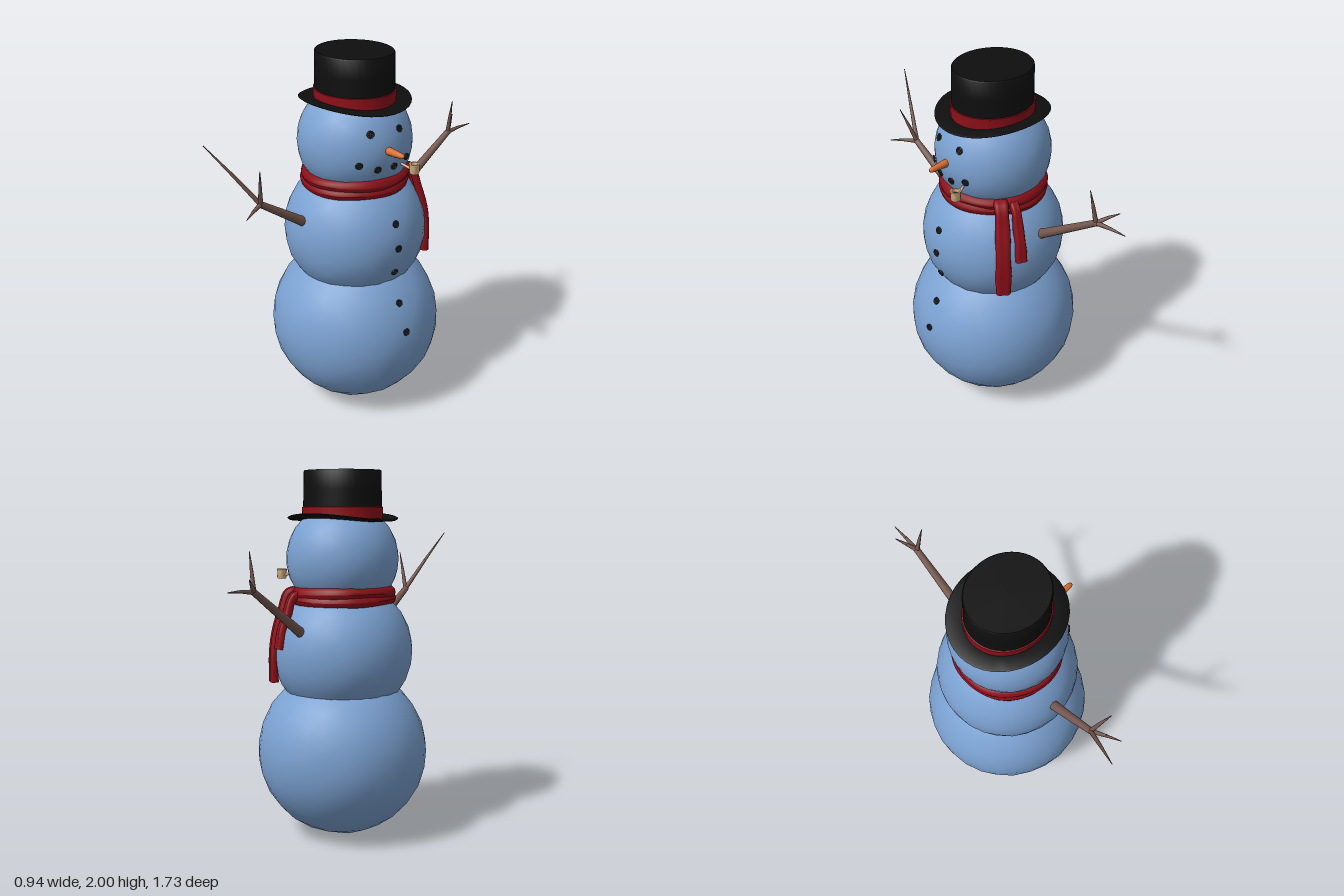
import * as THREE from 'three';
import { mergeVertices, toCreasedNormals } from 'three/addons/utils/BufferGeometryUtils.js';

const CZ = 0.02; // body axis in z
const V = (x, y, z) => new THREE.Vector3(x, y, z);
const paint = (color) => new THREE.MeshStandardMaterial({ color });

export function createModel() {
  const model = new THREE.Group();
  const snow = paint(0x7ba1d1), black = paint(0x0e0e0e), red = paint(0x8c0f19);
  const bark = paint(0x765850), orange = paint(0xdb6f30), coal = paint(0x2a2d30);
  const cream = paint(0xdcb88a);

  const add = (name, geometry, material, parent = model) => {
    const mesh = new THREE.Mesh(geometry, material);
    mesh.name = name;
    parent.add(mesh);
    return mesh;
  };
  const group = (name) => {
    const g = new THREE.Group();
    g.name = name;
    model.add(g);
    return g;
  };
  // tapered round rod between two points
  const rod = (name, a, b, ra, rb, material, parent, sides = 10) => {
    const mesh = add(name, new THREE.CylinderGeometry(rb, ra, a.distanceTo(b), sides), material, parent);
    mesh.position.copy(a).lerp(b, 0.5);
    mesh.quaternion.setFromUnitVectors(V(0, 1, 0), b.clone().sub(a).normalize());
    return mesh;
  };

  // snowballs with a slightly hand-packed surface
  const balls = [
    { name: 'lowerBody', y: 0.47, r: 0.468, detail: 4 },
    { name: 'upperBody', y: 1.03, r: 0.385, detail: 4 },
    { name: 'head', y: 1.53, r: 0.305, detail: 4 },
  ];
  for (const { name, y, r, detail } of balls) {
    let g = new THREE.IcosahedronGeometry(r, detail);
    g.deleteAttribute('normal');
    g.deleteAttribute('uv');
    g = mergeVertices(g, 1e-4);
    const p = g.attributes.position, v = V(0, 0, 0);
    for (let i = 0; i < p.count; i++) {
      v.fromBufferAttribute(p, i);
      const n = v.clone().divideScalar(r);
      v.multiplyScalar(1 + 0.007 * Math.sin(7 * n.x + 2) * Math.sin(6 * n.y + 1) * Math.cos(7 * n.z));
      p.setXYZ(i, v.x, v.y, v.z);
    }
    g.computeVertexNormals();
    add(name, g, snow).position.set(0, y, CZ);
  }
  const [lower, upper, head] = balls;

  // buttons, eyes and mouth: rimmed discs with four holes, set on a ball
  const disc = new THREE.Shape().absarc(0, 0, 0.015, 0, Math.PI * 2);
  for (const [x, y] of [[1, 1], [-1, 1], [-1, -1], [1, -1]])
    disc.holes.push(new THREE.Path().absarc(x * 0.0055, y * 0.0055, 0.0035, 0, Math.PI * 2, true));
  const discGeo = new THREE.ExtrudeGeometry(disc, { depth: 0.008, bevelEnabled: false, curveSegments: 8 });
  const rimGeo = new THREE.TorusGeometry(0.016, 0.004, 6, 18);
  const backGeo = new THREE.CircleGeometry(0.015, 18);
  const button = (name, ball, y, z) => {
    const g = group(name);
    const dy = y - ball.y, dz = z - CZ;
    const n = V(Math.sqrt(ball.r ** 2 - dy * dy - dz * dz), dy, dz).normalize();
    g.position.copy(n).multiplyScalar(ball.r - 0.001).add(V(0, ball.y, CZ));
    g.quaternion.setFromUnitVectors(V(0, 0, 1), n);
    add('buttonDisc', discGeo, coal, g);
    add('buttonRim', rimGeo, coal, g).position.z = 0.008;
    add('buttonBack', backGeo, black, g).position.z = 0.003;
  };
  for (const y of [1.165, 1.035, 0.89]) button('upperButton', upper, y, 0.055);
  for (const y of [0.715, 0.565]) button('lowerButton', lower, y, 0.055);
  for (const z of [0.14, -0.03]) button('eye', head, 1.643, z);
  for (const [y, z] of [[1.49, 0.2], [1.46, 0.112], [1.46, 0.017], [1.485, -0.075]]) button('mouthStone', head, y, z);

  // carrot nose: ringed, blunt cone
  const carrot = [[0, 0], [0.021, 0], [0.021, 0.05], [0.018, 0.06], [0.019, 0.075], [0.016, 0.1],
    [0.015, 0.12], [0.009, 0.137], [0, 0.142]].map(([x, y]) => new THREE.Vector2(x, y));
  const nose = add('nose', new THREE.LatheGeometry(carrot, 10), orange);
  nose.position.set(0.27, 1.548, 0.053);
  nose.rotation.z = -Math.PI / 2;

  // pipe with a hollow bowl
  const pipe = group('pipe');
  rod('pipeStem', V(0.265, 1.455, -0.045), V(0.34, 1.43, -0.072), 0.006, 0.008, cream, pipe);
  const bowl = [[0, 0], [0.022, 0], [0.026, 0.008], [0.025, 0.042], [0.028, 0.046], [0.028, 0.054], [0.019, 0.054],
    [0.018, 0.03], [0, 0.03]].map(([x, y]) => new THREE.Vector2(x, y));
  add('pipeBowl', toCreasedNormals(new THREE.LatheGeometry(bowl, 16), 0.7), cream, pipe).position.set(0.356, 1.411, -0.074);
  const tobacco = add('pipeFilling', new THREE.CircleGeometry(0.019, 16), coal, pipe);
  tobacco.position.set(0.356, 1.447, -0.074);
  tobacco.rotation.x = -Math.PI / 2;

  // top hat: oval, with the brim curling up at both sides
  const hat = group('hat');
  hat.position.z = CZ;
  hat.scale.z = 0.91;
  const lathe = (pts) => new THREE.LatheGeometry(pts.map(([x, y]) => new THREE.Vector2(x, y)), 40);
  const brim = lathe([[0, 1.728], [0.12, 1.728], [0.23, 1.728], [0.3, 1.731], [0.309, 1.736], [0.3, 1.741], [0.23, 1.745], [0.12, 1.745], [0, 1.745]]);
  const bp = brim.attributes.position;
  for (let i = 0; i < bp.count; i++) bp.setY(i, bp.getY(i) + 0.36 * bp.getZ(i) ** 2);
  add('hatBrim', toCreasedNormals(brim, 0.9), black, hat);
  add('hatCrown', toCreasedNormals(lathe([[0, 1.735], [0.22, 1.735], [0.22, 1.8], [0.217, 1.9], [0.216, 1.994], [0.211, 2], [0, 2]]), 0.7), black, hat);
  add('hatBand', toCreasedNormals(lathe([[0.21, 1.745], [0.226, 1.745], [0.226, 1.806], [0.21, 1.81]]), 0.7), red, hat);

  // scarf: two uneven wraps and two hanging tails
  const scarf = group('scarf');
  [[1.352, 0.249, 0.4], [1.314, 0.251, 2.1]].forEach(([y, R, phase]) => {
    const g = new THREE.TorusGeometry(R, 0.039, 12, 56);
    g.rotateX(Math.PI / 2);
    const p = g.attributes.position;
    for (let i = 0; i < p.count; i++) {
      const a = Math.atan2(p.getZ(i), p.getX(i)), py = p.getY(i);
      const k = 1 + 0.01 * Math.sin(5 * a + phase);
      p.setXYZ(i, p.getX(i) * k, py * (0.95 + 0.08 * Math.sin(3 * a + phase)) + 0.004 * Math.sin(2 * a + phase), p.getZ(i) * k);
    }
    g.computeVertexNormals();
    add('scarfWrap', g, red, scarf).position.set(0, y, CZ);
  });

  // a tail follows [radius, y] points down the back, leaning along direction (dx, dz)
  const tail = (name, dx, dz, path, width, flare) => {
    const curve = new THREE.CatmullRomCurve3(path.map(([r, y]) => V(dx * r, y, dz * r + CZ)));
    const side = V(-dz, 0, dx);
    const g = new THREE.CylinderGeometry(1, 1, 1, 16, 24);
    const p = g.attributes.position;
    for (let i = 0; i < p.count; i++) {
      const t = THREE.MathUtils.clamp(0.5 - p.getY(i), 0, 1);
      const x = p.getX(i), z = p.getZ(i);
      const out = side.clone().cross(curve.getTangent(t)).normalize();
      const w = width * (1 + flare * t + 0.06 * Math.sin(17 * t));
      const thick = 0.026 * (0.7 + 0.6 * Math.abs(x)) * (1 + 0.1 * Math.sin(13 * t));
      const q = curve.getPoint(t).addScaledVector(side, x * w).addScaledVector(out, z * thick);
      p.setXYZ(i, q.x, q.y, q.z);
    }
    g.computeVertexNormals();
    const mesh = add(name, toCreasedNormals(g, 1), red, scarf);
    mesh.material = red.clone();
    mesh.material.side = THREE.DoubleSide;
  };
  tail('scarfLongTail', 0.6, -0.8, [[0.265, 1.365], [0.305, 1.345], [0.34, 1.25], [0.372, 1.12], [0.388, 1.0], [0.385, 0.87]], 0.036, 0.15);
  tail('scarfShortTail', 0.385, -0.92, [[0.27, 1.35], [0.31, 1.32], [0.345, 1.22], [0.375, 1.13], [0.385, 1.06]], 0.023, 0.4);

  // stick arms: a branch that forks into three twigs
  const arm = (name, root, elbow, tips) => {
    const g = group(name);
    rod('branch', root, elbow, 0.027, 0.017, bark, g);
    add('fork', new THREE.SphereGeometry(0.018, 10, 8), bark, g).position.copy(elbow);
    for (const tip of tips) {
      const mid = elbow.clone().lerp(tip, 0.5).add(V(0, 0.004, 0));
      rod('twig', elbow, mid, 0.013, 0.0085, bark, g, 8);
      rod('twigTip', mid, tip, 0.0085, 0.002, bark, g, 8);
    }
  };
  arm('rightArm', V(0, 1.14, 0.355), V(0, 1.325, 0.635),
    [V(-0.125, 1.655, 0.863), V(0.072, 1.535, 0.68), V(0.08, 1.308, 0.775)]);
  arm('leftArm', V(0, 1.15, -0.32), V(0, 1.395, -0.685),
    [V(0.04, 1.59, -0.67), V(0, 1.405, -0.865), V(-0.06, 1.465, -0.78)]);

  return model;
}
